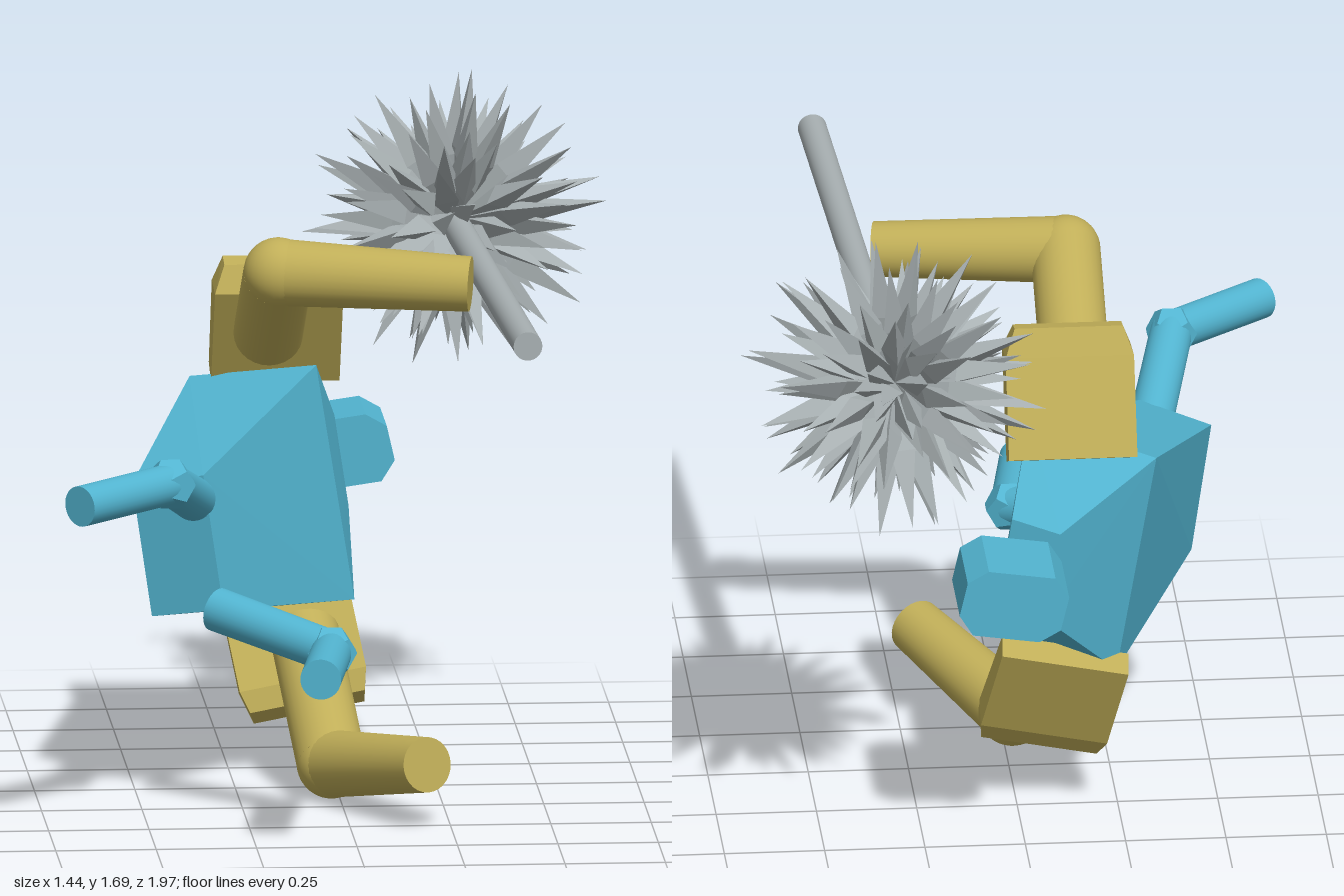
import * as THREE from 'three';
import { mergeGeometries } from 'three/addons/utils/BufferGeometryUtils.js';
import { ConvexGeometry } from 'three/addons/geometries/ConvexGeometry.js';

const V = (x, y, z) => new THREE.Vector3(x, y, z);

export function createModel() {
  const model = new THREE.Group();
  model.name = 'reclining figure with spiked staff';

  const mat = (name, color) => {
    const m = new THREE.MeshStandardMaterial({ color });
    m.name = name;
    return m;
  };
  const blue = mat('body blue', 0x52b4d0);
  const gold = mat('arm gold', 0xc0ae58);
  const grey = mat('steel grey', 0xa8b0b2);

  const add = (name, geometry, material, parent = model) => {
    const mesh = new THREE.Mesh(geometry, material);
    mesh.name = name;
    parent.add(mesh);
    return mesh;
  };

  // Cylinder running from a to b
  const rod = (name, a, b, ra, rb, material, parent) => {
    const d = b.clone().sub(a);
    const mesh = add(name, new THREE.CylinderGeometry(rb, ra, d.length(), 28), material, parent);
    mesh.position.copy(a).addScaledVector(d, 0.5);
    mesh.quaternion.setFromUnitVectors(V(0, 1, 0), d.normalize());
    return mesh;
  };

  // Torso: pelvis, chest and neck cross-sections, each with four corners
  add('torso', new ConvexGeometry([
    V(-0.521, 0.819, 0.2), V(-0.35, 0.855, 0.288), V(-0.3, 0.515, 0.293), V(-0.472, 0.483, 0.205),
    V(-0.338, 0.975, -0.363), V(-0.034, 1.03, -0.206), V(0.06, 0.438, -0.19), V(-0.24, 0.4, -0.345),
    V(-0.087, 0.835, -0.5), V(0.028, 0.855, -0.44), V(0.063, 0.625, -0.435), V(-0.05, 0.605, -0.495),
  ]), blue);

  // Head: chamfered prism
  const headOutline = [[0.11, 0.842], [0.163, 0.812], [0.183, 0.725], [0.15, 0.672],
    [-0.016, 0.648], [-0.069, 0.678], [-0.09, 0.765], [-0.056, 0.818]];
  add('head', new ConvexGeometry([-0.505, -0.738].flatMap(
    (z) => headOutline.map(([x, y]) => V(x, y, z)))), blue);

  // Arms: upper arm, rounded elbow and forearm
  const arm = (name, shoulder, elbow, hand) => {
    const g = new THREE.Group();
    g.name = name;
    rod('upperArm', shoulder, elbow, 0.087, 0.087, gold, g);
    add('elbow', new THREE.SphereGeometry(0.087, 28, 18), gold, g).position.copy(elbow);
    rod('forearm', elbow, hand, 0.084, 0.069, gold, g);
    model.add(g);
  };
  arm('rightArm', V(-0.15, 1.105, -0.25), V(-0.152, 1.335, 0.13), V(0.32, 1.316, 0.217));
  arm('leftArm', V(-0.06, 0.34, -0.25), V(-0.02, 0.09, 0.14), V(0.19, 0.163, 0.53));

  // Shoulder plates: side profile rows of [z, y, half width], tilted about z
  const plate = (name, cx, cy, tilt, profile) => {
    const c = Math.cos(tilt), s = Math.sin(tilt);
    add(name, new ConvexGeometry(profile.flatMap(([z, y, w]) => [-w, w].map(
      (x) => V(cx + x * c - (y - cy) * s, cy + x * s + (y - cy) * c, z)))), gold);
  };
  plate('rightShoulderPlate', -0.127, 1.13, 0, [
    [-0.19, 1.215, 0.16], [-0.215, 1.285, 0.135], [-0.272, 1.297, 0.135],
    [-0.305, 1.23, 0.16], [-0.41, 1.0, 0.16], [-0.33, 0.965, 0.16]]);
  plate('leftShoulderPlate', -0.08, 0.3, 0.19, [
    [-0.345, 0.475, 0.16], [-0.41, 0.445, 0.16], [-0.3, 0.21, 0.16],
    [-0.265, 0.165, 0.145], [-0.215, 0.145, 0.14], [-0.182, 0.18, 0.145], [-0.195, 0.235, 0.16]]);

  // Legs: thigh, faceted knee and shin
  const leg = (name, hip, knee, foot) => {
    const g = new THREE.Group();
    g.name = name;
    rod('thigh', hip, knee, 0.055, 0.053, blue, g);
    add('knee', new THREE.DodecahedronGeometry(0.066), blue, g).position.copy(knee);
    rod('shin', knee, foot, 0.051, 0.051, blue, g);
    model.add(g);
  };
  leg('rightLeg', V(-0.372, 0.79, 0.26), V(-0.455, 0.9, 0.61), V(-0.695, 0.89, 0.825));
  leg('leftLeg', V(-0.32, 0.525, 0.335), V(-0.05, 0.46, 0.565), V(-0.1, 0.455, 0.885));

  // Staff
  const centre = V(0.335, 1.31, -0.615);
  rod('staff', V(0.408, 1.315, 0.998), centre, 0.036, 0.036, grey);

  // Spiked ball: slim three-sided spikes fanned over a sphere
  let seed = 7;
  const random = () => (seed = (seed * 16807) % 2147483647) / 2147483647;
  const spikes = [];
  const count = 130;
  for (let i = 0; i < count; i++) {
    const y = 1 - (2 * (i + 0.5)) / count;
    const a = i * 2.39996 + random() * 0.4;
    const r = Math.sqrt(1 - y * y);
    const length = 0.3 + 0.09 * random();
    const spike = new THREE.LatheGeometry([
      new THREE.Vector2(0, 0), new THREE.Vector2(0.036, length * 0.48), new THREE.Vector2(0, length),
    ], 3, random() * 6).toNonIndexed();
    spike.computeVertexNormals();
    spike.applyQuaternion(new THREE.Quaternion().setFromUnitVectors(
      V(0, 1, 0), V(r * Math.cos(a), y, r * Math.sin(a)).normalize()));
    spikes.push(spike);
  }
  add('spikedBall', mergeGeometries(spikes), grey).position.copy(centre);

  return model;
}
